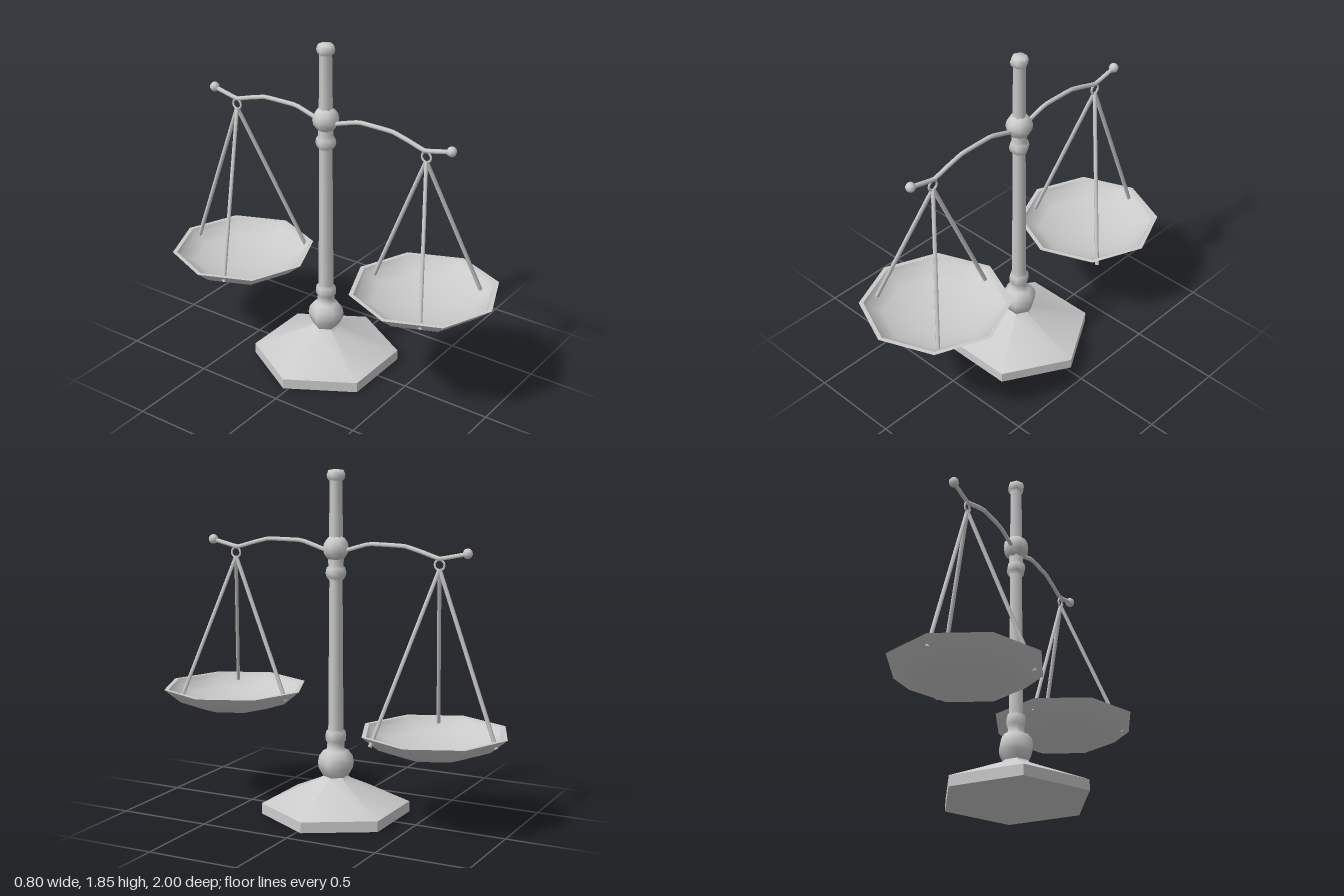
import * as THREE from 'three';
import { toCreasedNormals } from 'three/addons/utils/BufferGeometryUtils.js';

const grey = new THREE.MeshStandardMaterial({ color: 0xcccccc });
const POST_Z = -0.026;
const BEAM_Z = -0.019;

function part(name, geometry, parent) {
  const mesh = new THREE.Mesh(geometry, grey);
  mesh.name = name;
  parent.add(mesh);
  return mesh;
}

// Turned shape with a corner on the x axis
function turned(points, sides, crease) {
  const geo = new THREE.LatheGeometry(points.map(([r, y]) => new THREE.Vector2(r, y)), sides);
  geo.rotateY(Math.PI / 2);
  return crease ? toCreasedNormals(geo, crease) : geo;
}

// Thin rod between two points
function rod(name, a, b, radius, parent) {
  part(name, new THREE.TubeGeometry(new THREE.LineCurve3(a, b), 1, radius, 6), parent);
}

// Pan with its ring and three rods; ends are [x, z] offsets from the pan centre
function addPan(name, z, hookZ, rimY, ends, parent) {
  const group = new THREE.Group();
  group.name = name;
  parent.add(group);

  const dish = turned([
    [0, -0.132], [0.1, -0.127], [0.2, -0.112], [0.31, -0.075], [0.4, 0],
    [0.376, 0], [0.36, -0.028], [0.28, -0.065], [0.17, -0.092], [0, -0.105],
  ], 8, 0.85);
  part('pan', dish, group).position.set(0, rimY, z);

  const ring = part('hangingRing', new THREE.TorusGeometry(0.027, 0.006, 6, 12), group);
  ring.rotation.y = Math.PI / 2;
  ring.position.set(0, 1.385, hookZ);

  const apex = new THREE.Vector3(0, 1.365, hookZ);
  for (const [x, dz] of ends) {
    rod('hangingRod', apex, new THREE.Vector3(x, rimY - 0.045, z + dz), 0.011, group);
  }
}

export function createModel() {
  const model = new THREE.Group();
  model.name = 'balanceScale';

  // Hexagonal foot, hollowed underneath
  const base = turned([[0, 0.1], [0.4, 0], [0.4, 0.058], [0.08, 0.195], [0.06, 0.215]], 6, 0.6);
  part('base', base, model).position.z = POST_Z;

  // Turned post with lower ball, collars and finial
  const post = turned([
    [0.06, 0.2], [0.075, 0.22], [0.093, 0.255], [0.097, 0.285], [0.09, 0.32], [0.068, 0.35],
    [0.048, 0.36], [0.046, 0.392], [0.054, 0.405], [0.056, 0.43], [0.052, 0.455], [0.041, 0.468],
    [0.035, 1.27], [0.05, 1.288], [0.055, 1.31], [0.05, 1.335], [0.04, 1.348],
    [0.042, 1.4], [0.037, 1.48], [0.033, 1.79], [0.044, 1.8], [0.049, 1.822], [0.04, 1.847], [0, 1.853],
  ], 6);
  part('post', post, model).position.z = POST_Z;

  part('pivotBall', new THREE.SphereGeometry(0.071, 8, 8), model).position.set(0, 1.44, POST_Z);

  // Bent beam arms, mirrored front and back
  const arm = [[0, 1.41], [0.07, 1.433], [0.2, 1.472], [0.4, 1.471], [0.5, 1.445], [0.595, 1.417], [0.747, 1.45]];
  for (const side of [1, -1]) {
    const points = arm.map(([d, y]) => new THREE.Vector3(0, y, BEAM_Z + side * d));
    const curve = new THREE.CatmullRomCurve3(points, false, 'catmullrom', 0.1);
    part('beamArm', new THREE.TubeGeometry(curve, 24, 0.012, 6), model);
    part('beamTip', new THREE.SphereGeometry(0.027, 8, 6), model)
      .position.set(0, 1.451, BEAM_Z + side * 0.747);
  }

  // The front pan hangs a little higher than the back pan
  addPan('frontPan', 0.6, 0.585, 0.643, [[0.032, -0.335], [-0.29, 0.157], [0.228, 0.205]], model);
  addPan('backPan', -0.6, -0.614, 0.517, [[0.022, -0.347], [-0.315, 0.112], [0.278, 0.238]], model);

  return model;
}
